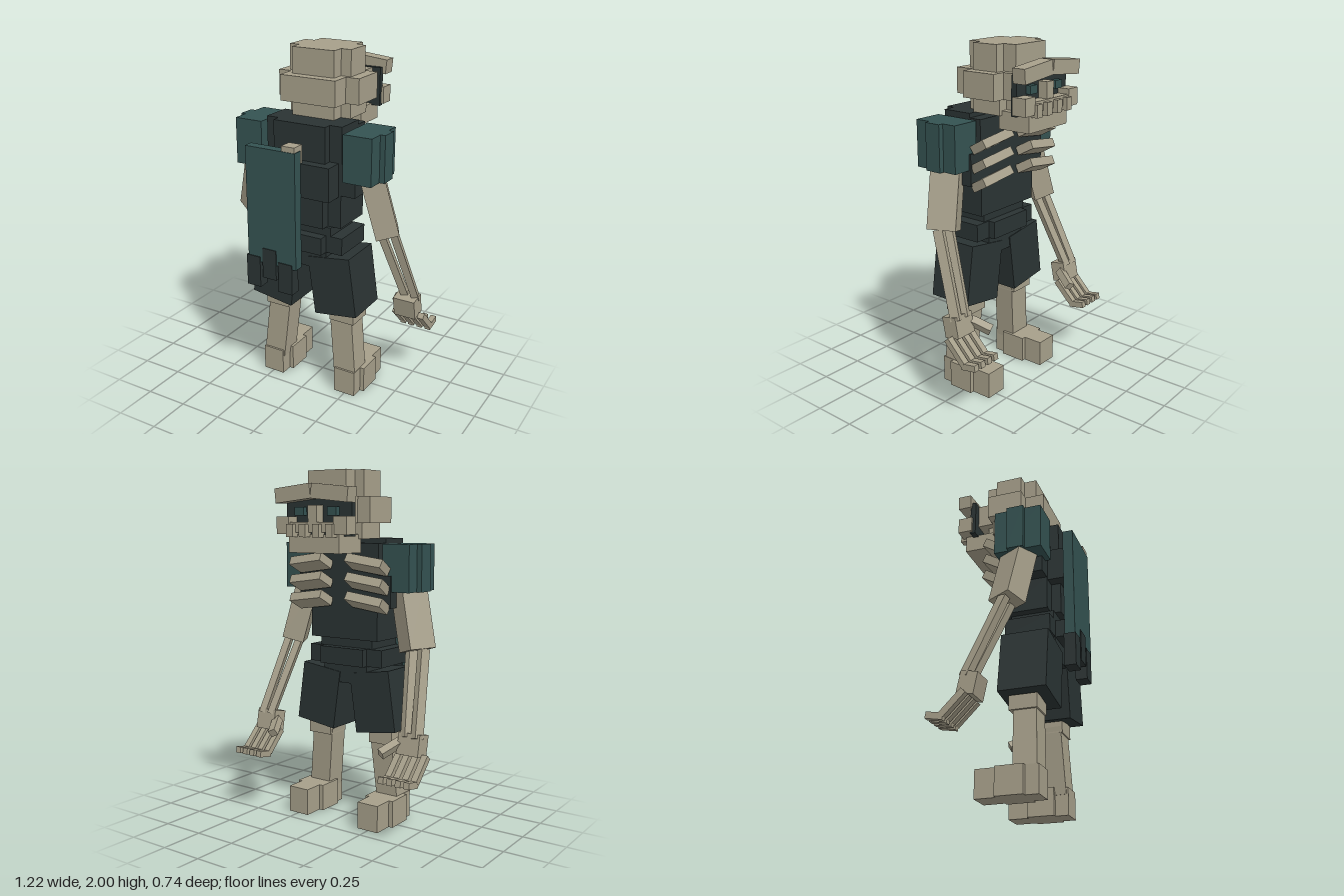
import * as THREE from 'three';

const mat = (name, color) => {
  const m = new THREE.MeshStandardMaterial({ color });
  m.name = name;
  return m;
};

export function createModel() {
  const model = new THREE.Group();
  model.name = 'skeletonFigure';
  const bone = mat('bone', 0xa69f8a);
  const dark = mat('darkCloth', 0x2a3333);
  const teal = mat('tealCloth', 0x345251);

  const group = (name) => {
    const g = new THREE.Group();
    g.name = name;
    model.add(g);
    return g;
  };
  // Box given by its minimum and maximum on each axis
  const box = (parent, name, m, [x0, x1], [y0, y1], [z0, z1]) => {
    const mesh = new THREE.Mesh(new THREE.BoxGeometry(Math.abs(x1 - x0), y1 - y0, z1 - z0), m);
    mesh.position.set((x0 + x1) / 2, (y0 + y1) / 2, (z0 + z1) / 2);
    mesh.name = name;
    parent.add(mesh);
    return mesh;
  };
  // Square bar running from a to b, turned about its own axis
  const bar = (parent, name, m, a, b, w, d, twist = 0) => {
    const p = new THREE.Vector3(...a), q = new THREE.Vector3(...b);
    const dir = q.clone().sub(p);
    const mesh = new THREE.Mesh(new THREE.BoxGeometry(w, dir.length(), d), m);
    mesh.position.copy(p).add(q).multiplyScalar(0.5);
    mesh.quaternion.setFromUnitVectors(new THREE.Vector3(0, -1, 0), dir.normalize());
    mesh.rotateY(twist);
    mesh.name = name;
    parent.add(mesh);
    return mesh;
  };
  // Stepped block: two crossing boxes sharing one height
  const cross = (parent, name, m, wide, long, y, zWide, zLong) => {
    box(parent, name, m, [-wide, wide], y, zWide);
    box(parent, name, m, [-long, long], y, zLong);
  };

  // Skull
  const head = group('head');
  cross(head, 'crown', bone, 0.19, 0.13, [1.857, 2], [-0.13, 0.03], [-0.21, 0.105]);
  cross(head, 'skull', bone, 0.25, 0.17, [1.715, 1.857], [-0.16, 0.05], [-0.255, 0.164]);
  cross(head, 'skullBase', bone, 0.19, 0.13, [1.63, 1.715], [-0.15, 0.03], [-0.2, 0.105]);
  box(head, 'jaw', bone, [-0.17, 0.17], [1.555, 1.655], [-0.33, -0.13]);
  box(head, 'facePlate', dark, [-0.22, 0.22], [1.645, 1.86], [-0.285, -0.252]);
  box(head, 'upperJaw', bone, [-0.17, 0.17], [1.665, 1.72], [-0.345, -0.28]);
  box(head, 'noseBridge', bone, [-0.03, 0.03], [1.72, 1.81], [-0.34, -0.28]);
  for (const x of [-0.133, -0.045, 0.045, 0.133])
    box(head, 'tooth', bone, [x - 0.022, x + 0.022], [1.64, 1.71], [-0.372, -0.32]);
  for (const s of [-1, 1]) {
    const brow = box(head, 'brow', bone, [s * 0.003, s * 0.243], [1.833, 1.913], [-0.357, -0.277]);
    brow.rotation.z = -s * 0.1;
    box(head, 'cheekbone', bone, [s * 0.15, s * 0.235], [1.655, 1.75], [-0.355, -0.27]);
    box(head, 'eye', teal, [s * 0.08, s * 0.14], [1.755, 1.8], [-0.315, -0.28]);
  }

  // Torso in stacked tiers
  const torso = group('torso');
  box(torso, 'collar', dark, [-0.235, 0.235], [1.43, 1.63], [0.02, 0.2]);
  box(torso, 'upperChest', dark, [-0.235, 0.235], [1.43, 1.605], [-0.055, 0.2]);
  box(torso, 'upperBack', dark, [-0.16, 0.16], [1.43, 1.63], [0.02, 0.25]);
  box(torso, 'chest', dark, [-0.315, 0.315], [1.25, 1.43], [-0.055, 0.2]);
  box(torso, 'back', dark, [-0.215, 0.215], [1.24, 1.43], [0, 0.305]);
  box(torso, 'belly', dark, [-0.23, 0.23], [1.06, 1.25], [-0.055, 0.2]);
  box(torso, 'lowerBack', dark, [-0.15, 0.15], [1.06, 1.25], [0, 0.255]);
  box(torso, 'waist', dark, [-0.18, 0.18], [1.01, 1.06], [-0.03, 0.22]);
  cross(torso, 'belt', dark, 0.25, 0.15, [0.91, 1.01], [-0.04, 0.22], [-0.08, 0.275]);
  box(torso, 'hips', dark, [-0.15, 0.15], [0.8, 0.91], [-0.04, 0.22]);
  box(torso, 'spine', bone, [-0.04, 0.04], [1.24, 1.53], [0.285, 0.362]);

  // Ragged cape hung on the back
  const cape = group('cape');
  box(cape, 'capeCloth', teal, [-0.27, 0.045], [0.83, 1.5], [0.308, 0.366]);
  for (const [x, y0, y1] of [[-0.235, 0.675, 0.86], [-0.128, 0.74, 0.92], [-0.024, 0.675, 0.855]])
    box(cape, 'tatter', dark, [x - 0.045, x + 0.045], [y0, y1], [0.306, 0.371]);

  for (const s of [-1, 1]) {
    const side = s > 0 ? 'left' : 'right';

    // Ribs, tipped up at the front
    const ribs = group(side + 'Ribs');
    for (let i = 0; i < 3; i++) {
      const rib = box(ribs, 'rib', bone, [s * 0.08, s * 0.31], [1.465 - i * 0.105, 1.515 - i * 0.105], [-0.16, -0.05]);
      rib.rotation.set(0.5, s * -0.1, s * -0.1);
    }

    // Arm
    const arm = group(side + 'Arm');
    box(arm, 'shoulderPad', teal, [s * 0.255, s * 0.425], [1.34, 1.602], [-0.043, 0.23]);
    box(arm, 'shoulderPadRim', teal, [s * 0.35, s * 0.455], [1.34, 1.602], [0.04, 0.137]);
    bar(arm, 'upperArm', bone, [s * 0.335, 1.42, 0.085], [s * 0.435, 1.02, 0.04], 0.13, 0.16, s * 0.5);
    bar(arm, 'outerForearmBone', bone, [s * 0.475, 1.03, 0.04], [s * 0.545, 0.57, -0.14], 0.04, 0.055, s * 0.4);
    bar(arm, 'innerForearmBone', bone, [s * 0.395, 1.03, 0.045], [s * 0.48, 0.57, -0.14], 0.04, 0.055, s * 0.4);

    // Hand with jointed fingers
    const hand = group(side + 'Hand');
    const palm = box(hand, 'palm', bone, [s * 0.437, s * 0.57], [0.47, 0.59], [-0.165, -0.07]);
    palm.rotation.x = 0.2;
    for (const x of [0.43, 0.483, 0.537, 0.59]) {
      bar(hand, 'fingerBase', bone, [s * x, 0.475, -0.12], [s * x, 0.36, -0.235], 0.036, 0.036);
      bar(hand, 'fingerTip', bone, [s * x, 0.35, -0.225], [s * x, 0.367, -0.32], 0.034, 0.036);
    }
    bar(hand, 'thumb', bone, [s * 0.44, 0.54, -0.13], [s * 0.38, 0.485, -0.245], 0.045, 0.045);

    // Leg
    const leg = group(side + 'Leg');
    bar(leg, 'shortsLeg', dark, [s * 0.165, 0.88, 0.09], [s * 0.214, 0.535, 0.09], 0.265, 0.27);
    box(leg, 'kneeCuff', bone, [s * 0.14, s * 0.295], [0.46, 0.54], [0.002, 0.16]);
    bar(leg, 'shin', bone, [s * 0.207, 0.5, 0.085], [s * 0.245, 0.12, 0.1], 0.14, 0.13);
    box(leg, 'foot', bone, [s * 0.155, s * 0.34], [0, 0.155], [-0.055, 0.1]);
    box(leg, 'heelAndToe', bone, [s * 0.18, s * 0.315], [0, 0.155], [-0.173, 0.175]);
  }
  return model;
}
